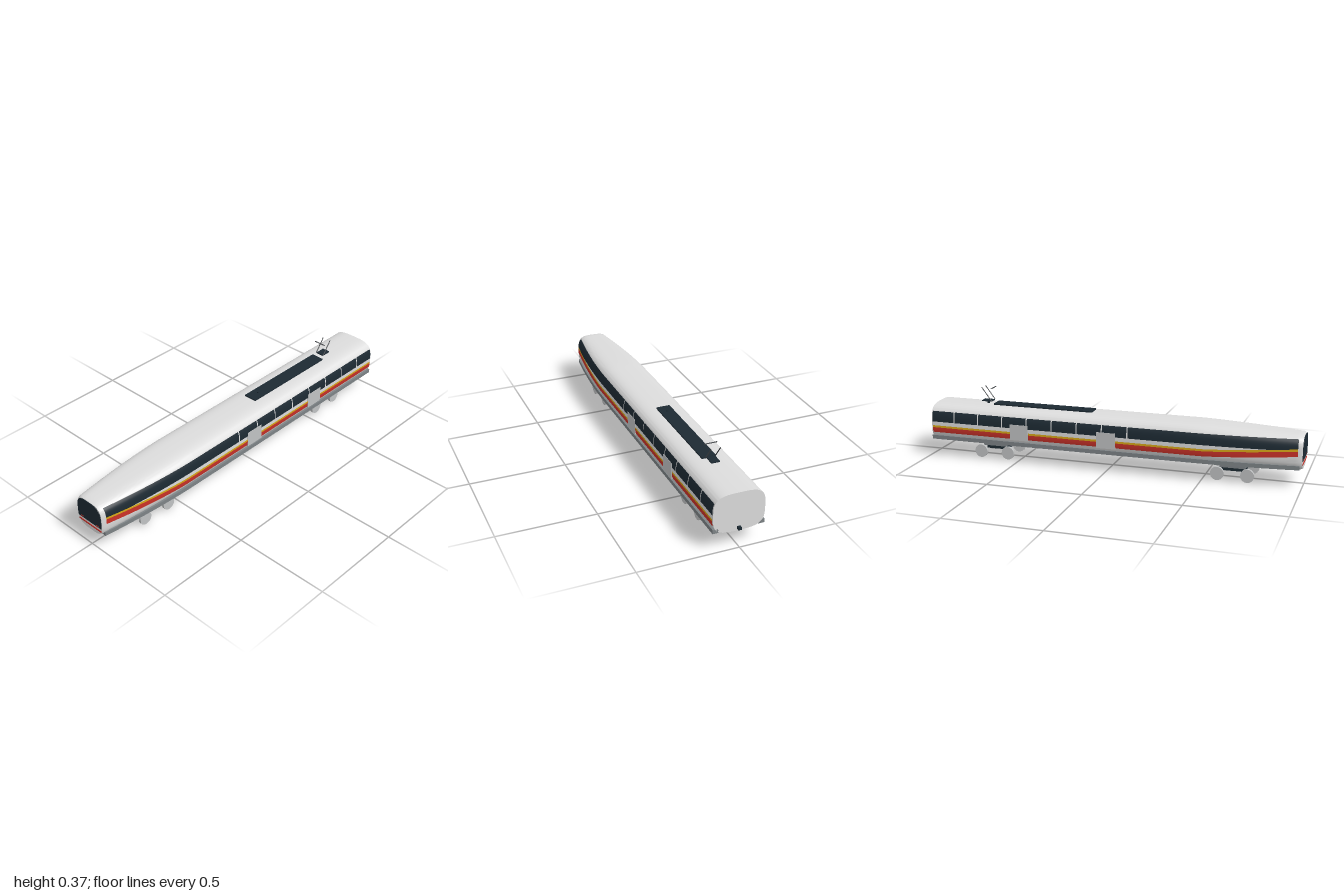
import * as THREE from 'three';
import { toCreasedNormals } from 'three/addons/utils/BufferGeometryUtils.js';

const N = 3.5; // superellipse exponent of the car body
const BOTTOM = 0.083;

function material(name, color) {
  const m = new THREE.MeshStandardMaterial({ color });
  m.name = name;
  return m;
}

// Body envelope along the car: the nose narrows and drops toward -x
const taper = x => Math.min(1, Math.max(0, (-0.45 - x) / 0.55));
const halfWidth = x => 0.129 - 0.04 * taper(x) ** 1.8;
const roofY = x => 0.282 - 0.022 * taper(x) ** 1.3;
const midY = x => (roofY(x) + BOTTOM) / 2;
const halfHeight = x => (roofY(x) - BOTTOM) / 2;
const sideZ = (x, y) =>
  halfWidth(x) * Math.max(0, 1 - Math.abs((y - midY(x)) / halfHeight(x)) ** N) ** (1 / N);

// Rounded cross-section as [y, z] points
function bodySection(x, scale = 1) {
  const points = [];
  const power = v => Math.sign(v) * Math.abs(v) ** (2 / N);
  for (let i = 0; i < 72; i++) {
    const a = (i / 72) * Math.PI * 2;
    points.push([
      midY(x) + halfHeight(x) * scale * power(Math.sin(a)),
      halfWidth(x) * scale * power(Math.cos(a)),
    ]);
  }
  return points;
}

// Capped loft of cross-sections along x
function loft(stations, section) {
  const positions = [], index = [];
  const rings = stations.map(section);
  const n = rings[0].length, last = rings.length - 1;
  rings.forEach((ring, r) => ring.forEach(([y, z]) => positions.push(stations[r], y, z)));
  for (let r = 0; r < last; r++) {
    for (let i = 0; i < n; i++) {
      const a = r * n + i, b = r * n + ((i + 1) % n);
      index.push(a, a + n, b + n, a, b + n, b);
    }
  }
  for (let i = 1; i < n - 1; i++) {
    index.push(0, i, i + 1, last * n, last * n + i + 1, last * n + i);
  }
  const g = new THREE.BufferGeometry();
  g.setAttribute('position', new THREE.Float32BufferAttribute(positions, 3));
  g.setIndex(index);
  return toCreasedNormals(g, 0.6);
}

// Painted band hugging one side of the body between two height curves
function sideBand(x0, x1, low, high, side, offset = 0.002) {
  const positions = [], index = [];
  const nx = Math.max(2, Math.ceil((x1 - x0) / 0.025)), ny = 6;
  for (let i = 0; i <= nx; i++) {
    const x = x0 + ((x1 - x0) * i) / nx;
    for (let j = 0; j <= ny; j++) {
      const y = low(x) + ((high(x) - low(x)) * j) / ny;
      positions.push(x, y, side * (sideZ(x, y) + offset));
    }
  }
  for (let i = 0; i < nx; i++) {
    for (let j = 0; j < ny; j++) {
      const a = i * (ny + 1) + j, b = a + ny + 1;
      if (side > 0) index.push(a, b, b + 1, a, b + 1, a + 1);
      else index.push(a, b + 1, b, a, a + 1, b + 1);
    }
  }
  const g = new THREE.BufferGeometry();
  g.setAttribute('position', new THREE.Float32BufferAttribute(positions, 3));
  g.setIndex(index);
  g.computeVertexNormals();
  return g;
}

export function createModel() {
  const group = new THREE.Group();
  group.name = 'trainCar';
  const white = material('bodyWhite', 0xdcdcdc);
  const dark = material('darkGlass', 0x1d2a33);
  const red = material('stripeRed', 0xcc3229);
  const yellow = material('stripeYellow', 0xd9a818);
  const grey = material('skirtGrey', 0x7d8386);
  const light = material('lightGrey', 0xc0c2c3);
  const arm = material('armGrey', 0x4a4d50);

  function add(name, geometry, mat, parent = group) {
    const mesh = new THREE.Mesh(geometry, mat);
    mesh.name = name;
    parent.add(mesh);
    return mesh;
  }
  // Box given by its limits on each axis
  function box(name, [x0, x1], [y0, y1], [z0, z1], mat, parent) {
    const mesh = add(name, new THREE.BoxGeometry(x1 - x0, y1 - y0, z1 - z0), mat, parent);
    mesh.position.set((x0 + x1) / 2, (y0 + y1) / 2, (z0 + z1) / 2);
    return mesh;
  }

  // Body shell with a slightly softened nose edge
  const stations = [-0.997, -0.985];
  for (let i = 1; i <= 24; i++) stations.push(-0.985 + (0.56 * i) / 24);
  stations.push(0.985);
  add('bodyShell', loft(stations, x => bodySection(x, x < -0.99 ? 0.95 : 1)), white);

  // Cab end: windscreen, stripe and tail lights
  add('windscreen', loft([-1, -0.994], x =>
    bodySection(x, 0.92).map(([y, z]) => [Math.max(y, 0.135), z])), dark);
  box('noseStripe', [-0.9995, -0.994], [0.113, 0.121], [-0.078, 0.078], red);

  // Side livery: windows, stripes, skirts and doors
  const rise = x => 0.031 * Math.min(1, Math.max(0, (-0.5 - x) / 0.475)) ** 1.2;
  const stripeTop = x => 0.169 + rise(x);
  const dividers = [-0.115, 0.022, 0.159, 0.297, 0.437, 0.576, 0.715, 0.853];
  const windowEdges = [-0.978, ...dividers, 0.983];
  for (const side of [1, -1]) {
    const livery = new THREE.Group();
    livery.name = side > 0 ? 'frontSideLivery' : 'backSideLivery';
    group.add(livery);
    for (let i = 0; i < windowEdges.length - 1; i++) {
      add('sideWindow', sideBand(windowEdges[i] + 0.003, windowEdges[i + 1] - 0.003,
        x => Math.max(0.19, stripeTop(x)), () => 0.247, side), dark, livery);
    }
    add('yellowStripe', sideBand(-0.975, 0.98, x => 0.158 + rise(x), stripeTop, side), yellow, livery);
    add('redStripe', sideBand(-0.975, 0.98, x => 0.131 + rise(x), x => 0.158 + rise(x), side), red, livery);

    add('skirt', loft(stations.slice(1), x => {
      const outer = side * halfWidth(x), inner = outer - side * 0.03;
      const zMax = Math.max(outer, inner), zMin = Math.min(outer, inner);
      return [[0.093, zMax], [0.114, zMax], [0.114, zMin], [0.093, zMin]];
    }), grey, livery);

    for (const x of [-0.002, 0.478]) {
      box('door', [x - 0.051, x + 0.051], [0.126, 0.21],
        side > 0 ? [0.12, 0.1325] : [-0.1325, -0.12], light, livery);
    }
    box('tailLight', [-1.0005, -0.999], [0.139, 0.145], [side * 0.055 - 0.009, side * 0.055 + 0.009], red);
  }

  // Coupler on the flat end
  box('coupler', [0.98, 1], [0.091, 0.106], [-0.008, 0.008], dark);

  // Bogies with four disc wheels each
  for (const cx of [-0.651, 0.643]) {
    const bogie = new THREE.Group();
    bogie.name = 'bogie';
    bogie.position.x = cx;
    group.add(bogie);
    box('bogieBolster', [-0.065, 0.065], [0.067, 0.088], [-0.073, 0.073], grey, bogie);
    box('bogieFrame', [-0.06, 0.06], [0.043, 0.067], [-0.044, 0.044], dark, bogie);
    for (const x of [-0.077, 0.077]) {
      for (const z of [-0.077, 0.077]) {
        const wheel = add('wheel', new THREE.CylinderGeometry(0.035, 0.035, 0.014, 24), light, bogie);
        wheel.rotation.x = Math.PI / 2;
        wheel.position.set(x, 0.035, z);
      }
    }
  }

  // Roof equipment
  box('roofFairing', [0.105, 0.66], [0.284, 0.291], [-0.036, 0.036], dark);
  box('roofStud', [0.162, 0.17], [0.29, 0.297], [-0.004, 0.004], dark);

  // Pantograph
  const pantograph = new THREE.Group();
  pantograph.name = 'pantograph';
  group.add(pantograph);
  box('pantographPost', [0.7, 0.712], [0.278, 0.297], [-0.004, 0.004], dark, pantograph);
  box('pantographBase', [0.678, 0.734], [0.296, 0.301], [-0.022, 0.022], dark, pantograph);
  for (const z of [-0.024, 0.024]) {
    const from = new THREE.Vector3(0.678, 0.3, z), to = new THREE.Vector3(0.733, 0.373, z);
    add('pantographArm', new THREE.TubeGeometry(new THREE.LineCurve3(from, to), 1, 0.0025, 8), arm, pantograph);
  }
  box('contactBar', [0.672, 0.677], [0.368, 0.371], [-0.033, 0.033], arm, pantograph);

  return group;
}
